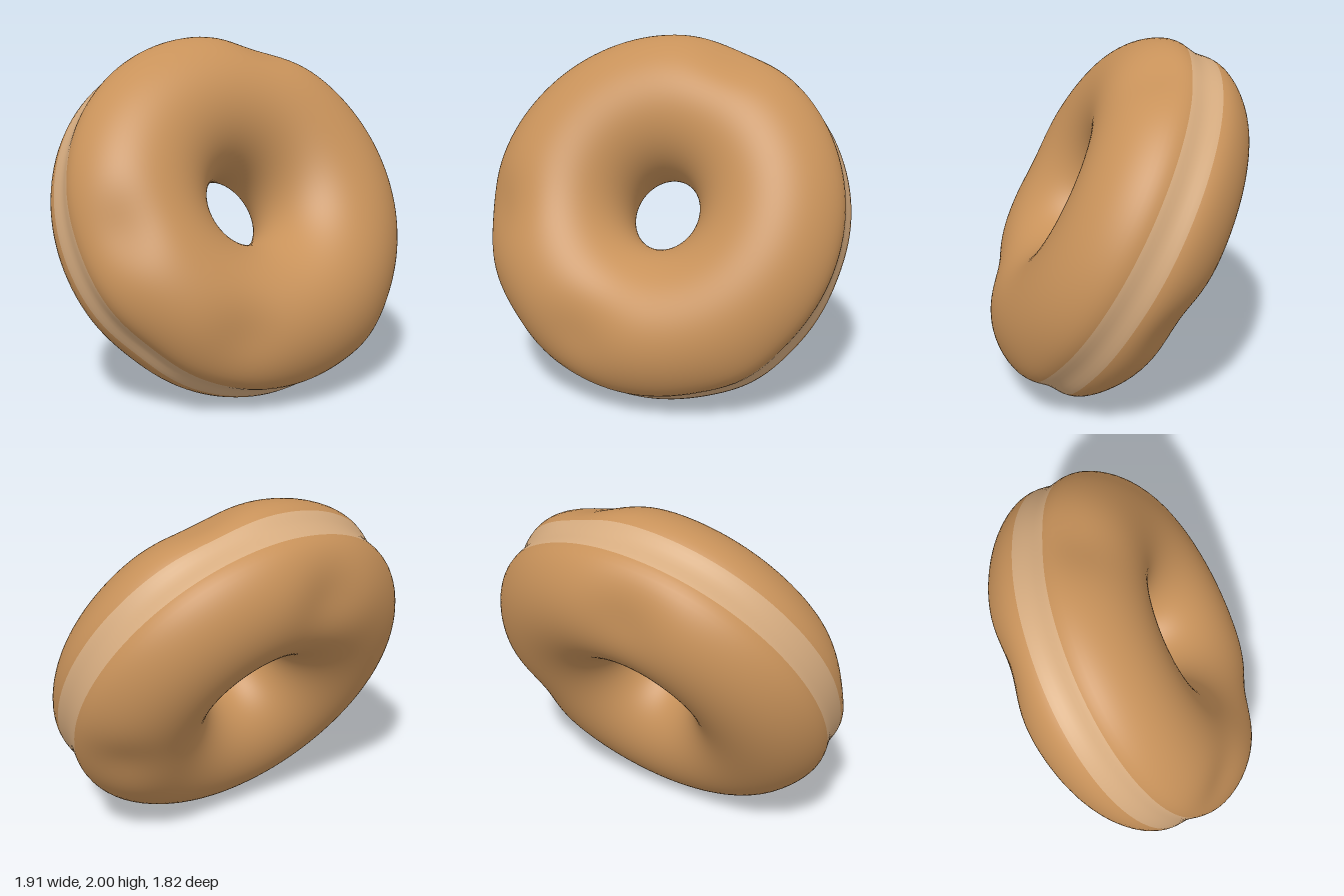
import * as THREE from 'three';
import { mergeVertices } from 'three/addons/utils/BufferGeometryUtils.js';

const RING = 0.643, TUBE = 0.432;          // ring and tube radius
const AXIS = new THREE.Vector3(0.577, 0.469, 0.669).normalize();
const RADIAL = 84, TUBULAR = 128, BAND = 3; // the pale band spans BAND rows each side of the rim

// soft dents and swellings in the dough: x, y, z, depth
const LUMPS = [
  [0.13, 0.94, -0.36, -0.045],
  [-0.6, 0.56, -0.44, -0.05],
  [-0.46, 0.06, 0.85, -0.045],
  [0.52, -0.35, -0.73, -0.045],
  [0.22, -0.53, 0.75, -0.045],
  [0.73, -0.77, -0.09, 0.025],
  [-0.37, -0.64, 0.77, -0.025],
].map(([x, y, z, d]) => ({ at: new THREE.Vector3(x, y, z), d }));

function doughGeometry() {
  const torus = new THREE.TorusGeometry(RING, TUBE, RADIAL, TUBULAR);
  torus.deleteAttribute('uv');
  const pos = torus.attributes.position, nor = torus.attributes.normal;
  const turn = new THREE.Quaternion().setFromUnitVectors(new THREE.Vector3(0, 0, 1), AXIS);
  const p = new THREE.Vector3(), n = new THREE.Vector3();
  for (let i = 0; i < pos.count; i++) {
    p.fromBufferAttribute(pos, i);
    n.fromBufferAttribute(nor, i);
    // shallow groove around the outer rim
    const v = Math.atan2(p.z, Math.hypot(p.x, p.y) - RING);
    let push = -0.04 * Math.exp(-((v / 0.24) ** 2));
    p.applyQuaternion(turn);
    n.applyQuaternion(turn);
    for (const { at, d } of LUMPS) push += d * Math.exp(-p.distanceToSquared(at) / 0.05);
    p.addScaledVector(n, push);
    pos.setXYZ(i, p.x, p.y + 1, p.z);
  }
  torus.deleteAttribute('normal');
  const geo = mergeVertices(torus, 1e-5);   // close the seams for smooth shading
  geo.computeVertexNormals();
  // rows next to the outer rim form the pale band
  const row = TUBULAR * 6;
  geo.clearGroups();
  geo.addGroup(0, BAND * row, 1);
  geo.addGroup(BAND * row, (RADIAL - 2 * BAND) * row, 0);
  geo.addGroup((RADIAL - BAND) * row, BAND * row, 1);
  return geo;
}

export function createModel() {
  const crust = new THREE.MeshStandardMaterial({ color: 0xc8925a });
  crust.name = 'golden crust';
  const pale = new THREE.MeshStandardMaterial({ color: 0xd6ac80 });
  pale.name = 'pale dough';
  const model = new THREE.Group();
  model.name = 'doughnut';
  const dough = new THREE.Mesh(doughGeometry(), [crust, pale]);
  dough.name = 'doughRing';
  model.add(dough);
  return model;
}
